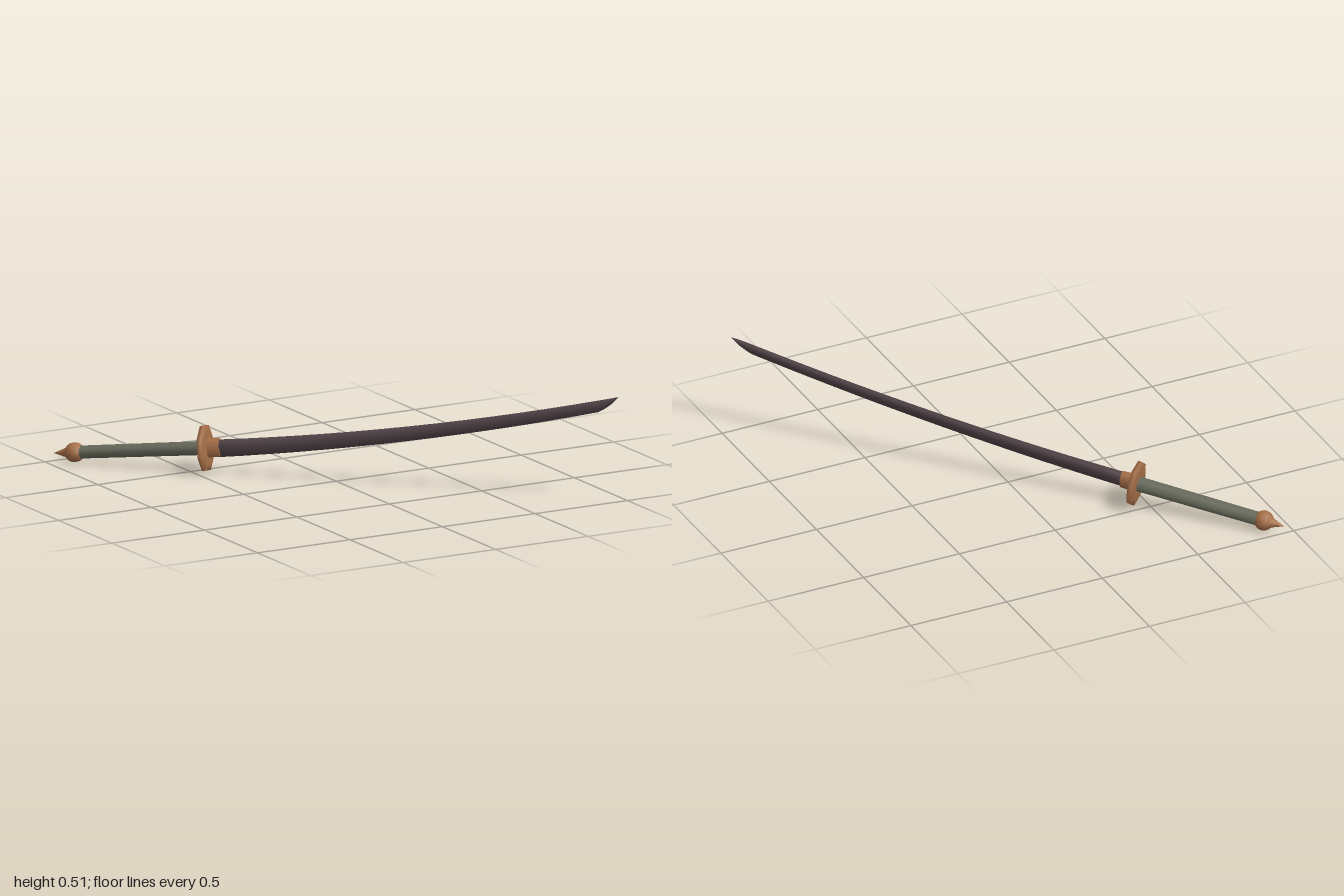
import * as THREE from 'three';
import { mergeVertices } from 'three/addons/utils/BufferGeometryUtils.js';

const bronze = new THREE.MeshStandardMaterial({ color: 0xa66f48 });
bronze.name = 'bronze';
const grip = new THREE.MeshStandardMaterial({ color: 0x66695a });
grip.name = 'grip';
const darkSteel = new THREE.MeshStandardMaterial({ color: 0x54464a });
darkSteel.name = 'darkSteel';

// Smooth turned part along x from [position, radius] pairs, with a flat facing up
function turned(name, profile, sides, material, scaleY = 1, scaleZ = 1) {
  const points = profile.map(([u, r]) => new THREE.Vector2(r, u));
  const geometry = new THREE.LatheGeometry(points, sides);
  geometry.rotateZ(-Math.PI / 2);
  geometry.rotateX(Math.PI / sides);
  geometry.scale(1, scaleY, scaleZ);
  const mesh = new THREE.Mesh(geometry, material);
  mesh.name = name;
  return mesh;
}

// Spiked ball: a thin cone running into a round knob
function pommelProfile(centre, radius) {
  const profile = [[-0.748, 0], [-0.71, 0.014]];
  for (let i = 0; i <= 8; i++) {
    const angle = 0.5 + (Math.PI - 0.5) * i / 8;
    profile.push([centre - radius * Math.cos(angle), radius * Math.sin(angle)]);
  }
  return profile;
}

// Curved blade: five-sided sections (spine, ridges, edge) swept to a point
function bladeGeometry() {
  const spineY = (s) => {
    const d = s + 0.566;
    return 0.165 + 0.11 * d + 0.0347 * d * d;
  };
  const stations = [];
  for (let i = 0; i <= 14; i++) {
    const f = i / 14;
    stations.push([-0.58 + 1.865 * f, 0.083 - 0.028 * f, 0.013 + 0.01 * (1 - f) ** 3]);
  }
  stations.push([1.315, 0.045, 0.012], [1.34, 0.033, 0.01], [1.36, 0.019, 0.007], [1.379, 0.001, 0.001]);

  const rings = stations.map(([s, h, t]) => {
    const y = spineY(s);
    return [[y, 0.55 * t], [y - 0.4 * h, t], [y - h, 0], [y - 0.4 * h, -t], [y, -0.55 * t]]
      .map(([py, pz]) => [s, py, pz]);
  });
  const positions = [];
  for (let i = 0; i < rings.length - 1; i++) {
    for (let j = 0; j < 5; j++) {
      const k = (j + 1) % 5;
      const a = rings[i][j], b = rings[i][k], c = rings[i + 1][k], d = rings[i + 1][j];
      positions.push(...a, ...b, ...c, ...a, ...c, ...d);
    }
  }
  const geometry = new THREE.BufferGeometry();
  geometry.setAttribute('position', new THREE.Float32BufferAttribute(positions, 3));
  const smooth = mergeVertices(geometry);
  smooth.computeVertexNormals();
  return smooth;
}

export function createModel() {
  const sword = new THREE.Group();
  sword.name = 'sword';

  // Hilt, measured along its own axis from the guard
  const hilt = new THREE.Group();
  hilt.name = 'hilt';
  hilt.position.set(-0.637, 0.12, 0);
  hilt.rotation.z = 0.106;
  hilt.add(turned('guard', [
    [-0.016, 0], [-0.016, 0.085], [-0.009, 0.114], [0.009, 0.114], [0.016, 0.085], [0.016, 0],
  ], 8, bronze, 1, 0.92));
  hilt.add(turned('handle', [[-0.64, 0.034], [0, 0.037]], 8, grip, 0.95, 1.08));
  hilt.add(turned('pommel', pommelProfile(-0.645, 0.048), 12, bronze));

  // Tapered collar gripping the root of the blade
  hilt.add(turned('collar', [
    [0.01, 0.05], [0.073, 0.046], [0.073, 0.046], [0.073, 0],
  ], 8, bronze, 1, 0.65));
  sword.add(hilt);

  const blade = new THREE.Mesh(bladeGeometry(), darkSteel);
  blade.name = 'blade';
  sword.add(blade);

  // Roll the sword slightly about the line from pommel to tip
  const chordMiddle = 0.275;
  sword.position.y = -chordMiddle;
  const rolled = new THREE.Group();
  rolled.name = 'rolledSword';
  rolled.position.y = chordMiddle;
  rolled.quaternion.setFromAxisAngle(new THREE.Vector3(2.758, 0.47, 0).normalize(), -0.19);
  rolled.add(sword);

  // Lay it along the diagonal
  const model = new THREE.Group();
  model.name = 'curvedSword';
  const diagonal = new THREE.Group();
  diagonal.name = 'diagonal';
  diagonal.rotation.y = -Math.atan2(1, 0.95);
  diagonal.add(rolled);
  model.add(diagonal);
  return model;
}
